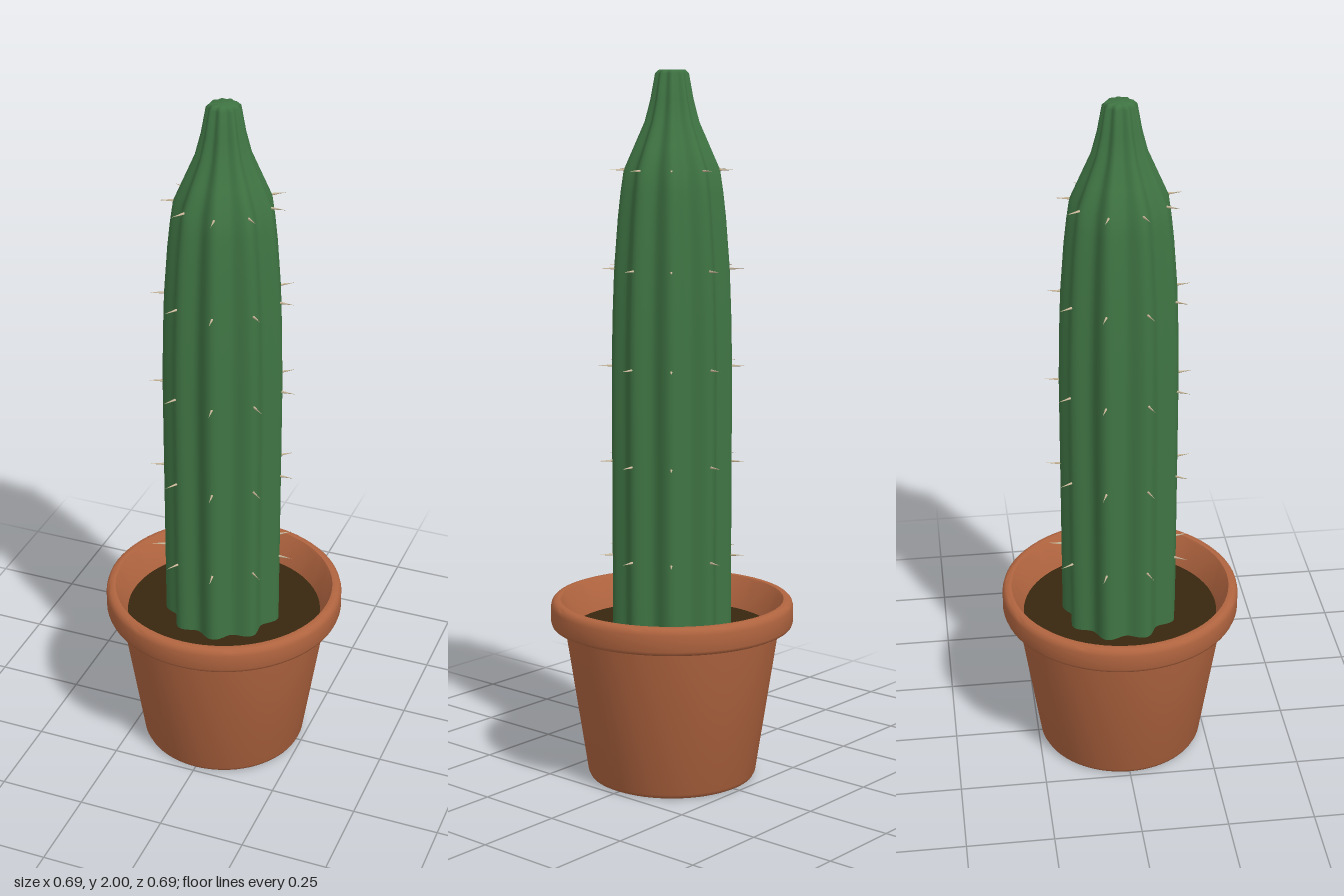
import * as THREE from 'three';
import { mergeVertices, toCreasedNormals } from 'three/addons/utils/BufferGeometryUtils.js';

const RIBS = 9;

const material = (name, color) => {
  const m = new THREE.MeshStandardMaterial({ color });
  m.name = name;
  return m;
};

const points = (list) => list.map(([r, y]) => new THREE.Vector2(r, y));

// Ridge radius of the stem at each height, bottom to top
const stemProfile = [
  [0.17, 0.4], [0.17, 0.65], [0.17, 0.92], [0.17, 1.19], [0.167, 1.33], [0.162, 1.46], [0.151, 1.6],
  [0.143, 1.67], [0.134, 1.73], [0.105, 1.795], [0.076, 1.86], [0.06, 1.92], [0.047, 1.99], [0.036, 2], [0, 2],
];

function ridgeRadius(y) {
  const i = stemProfile.findIndex((p) => p[1] >= y);
  const [r0, y0] = stemProfile[Math.max(i - 1, 0)];
  const [r1, y1] = stemProfile[i];
  return y1 === y0 ? r1 : THREE.MathUtils.mapLinear(y, y0, y1, r0, r1);
}

// Lathe whose radius is pulled in between evenly spaced ribs
function stemGeometry() {
  let geo = new THREE.LatheGeometry(points(stemProfile), RIBS * 12);
  const pos = geo.attributes.position;
  for (let i = 0; i < pos.count; i++) {
    const x = pos.getX(i), z = pos.getZ(i);
    const s = 0.925 + 0.075 * Math.cos(RIBS * Math.atan2(z, x));
    pos.setX(i, x * s);
    pos.setZ(i, z * s);
  }
  geo.deleteAttribute('uv');
  geo.deleteAttribute('normal');
  geo = mergeVertices(geo, 1e-5);
  geo.computeVertexNormals();
  return geo;
}

export function createModel() {
  const model = new THREE.Group();
  model.name = 'pottedCactus';
  const terracotta = material('terracotta', 0xb0643f);
  const earth = material('darkSoil', 0x38270f);
  const green = material('cactusGreen', 0x3f7443);
  const bone = material('spineBone', 0xcdbb9c);

  const add = (name, geo, mat, parent = model) => {
    const mesh = new THREE.Mesh(geo, mat);
    mesh.name = name;
    parent.add(mesh);
    return mesh;
  };

  // Tapered pot with a rounded collar and a hollow inside
  const potProfile = points([
    [0, 0], [0.228, 0], [0.236, 0.004], [0.241, 0.014], [0.306, 0.44],
    [0.334, 0.442], [0.342, 0.446], [0.345, 0.454], [0.345, 0.5], [0.342, 0.511],
    [0.335, 0.518], [0.325, 0.52], [0.318, 0.519], [0.313, 0.512], [0.281, 0.42],
  ]);
  add('pot', toCreasedNormals(new THREE.LatheGeometry(potProfile, 72), 0.8), terracotta);

  // Soil disc
  const soil = add('soil', new THREE.CircleGeometry(0.284, 72), earth);
  soil.rotation.x = -Math.PI / 2;
  soil.position.y = 0.43;

  add('stem', stemGeometry(), green);

  // Spines: one on every rib in each of five rows
  const spines = new THREE.Group();
  spines.name = 'spines';
  model.add(spines);
  const spineGeo = new THREE.ConeGeometry(0.005, 0.06, 6);
  spineGeo.rotateZ(-Math.PI / 2);
  for (let row = 0; row < 5; row++) {
    const y = 0.65 + row * 0.27;
    for (let rib = 0; rib < RIBS; rib++) {
      const a = (rib / RIBS) * Math.PI * 2;
      const r = ridgeRadius(y) + 0.01;
      const spine = add('spine', spineGeo, bone, spines);
      spine.position.set(Math.cos(a) * r, y, -Math.sin(a) * r);
      spine.rotation.y = a;
    }
  }
  return model;
}
